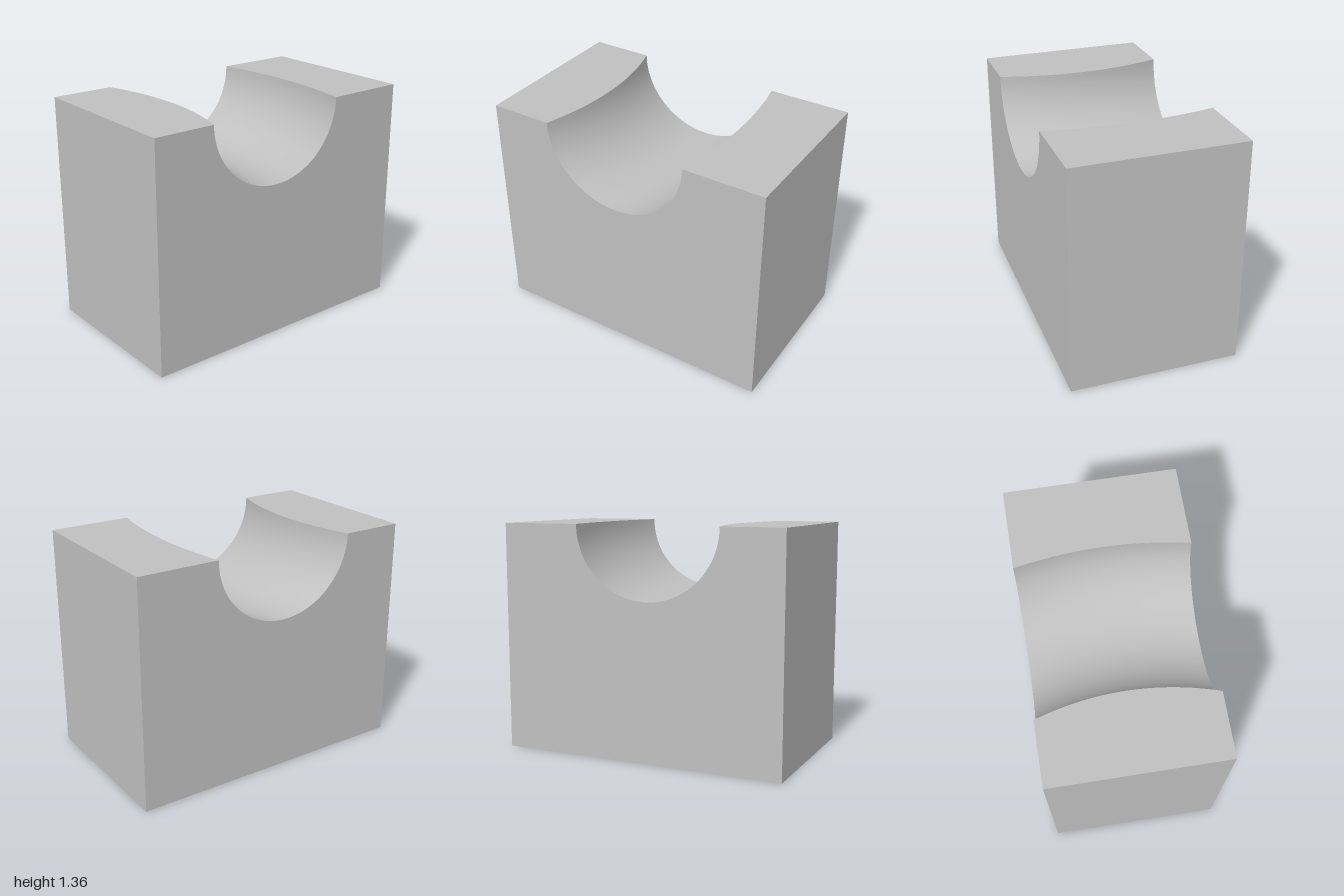
import * as THREE from 'three';

const W = 1, L = 1.73, H = 1.355;      // block width, length, height
const R = 2, r = 0.425, C = -1.99;     // groove sweep radius, tube radius, sweep centre
const N = 48, M = 24;                  // steps across and along the groove

// Groove point at width x; a runs from 0 (inner rim) to PI (outer rim).
// Returns [distance along the block, height].
function groovePoint(x, a) {
  const rho = R - r * Math.cos(a);
  return [C + Math.sqrt(rho * rho - x * x), H - r * Math.sin(a)];
}

export function createModel() {
  const model = new THREE.Group();
  const body = new THREE.Group();
  body.name = 'groovedBlock';
  const grey = new THREE.MeshStandardMaterial({ color: 0xc0c0c0 });
  grey.name = 'grey';

  const add = (name, geometry) => {
    const mesh = new THREE.Mesh(geometry, grey);
    mesh.name = name;
    body.add(mesh);
  };
  const shapeOf = (pts) => new THREE.ShapeGeometry(
    new THREE.Shape(pts.map(([x, y]) => new THREE.Vector2(x, y))));

  // Side walls with the groove mouth cut out
  for (const s of [1, -1]) {
    const pts = [[-L / 2, 0], [-L / 2, H]];
    for (let i = 0; i <= N; i++) pts.push(groovePoint(W / 2, Math.PI * i / N));
    pts.push([L / 2, H], [L / 2, 0]);
    add(s > 0 ? 'leftWall' : 'rightWall', shapeOf(pts.map(([u, y]) => [s * u, y]))
      .rotateY(s * Math.PI / 2).translate(s * W / 2, 0, 0));
  }

  // Flat tops on either side of the groove, each with one curved rim
  for (const s of [1, -1]) {
    const pts = [[W / 2, s * L / 2], [-W / 2, s * L / 2]];
    for (let i = 0; i <= M; i++) {
      const x = -W / 2 + W * i / M;
      pts.push([x, groovePoint(x, s > 0 ? Math.PI : 0)[0]]);
    }
    add(s > 0 ? 'backTop' : 'frontTop', shapeOf(pts).rotateX(-Math.PI / 2).translate(0, H, 0));
  }

  // Curved groove: a half-round channel swept along an arc
  const groove = new THREE.PlaneGeometry(W, 1, M, N);
  const p = groove.attributes.position;
  for (let i = 0; i < p.count; i++) {
    const x = p.getX(i);
    const [u, y] = groovePoint(x, Math.PI * (p.getY(i) + 0.5));
    p.setXYZ(i, x, y, -u);
  }
  groove.computeVertexNormals();
  add('groove', groove);

  // End walls and underside
  add('frontEnd', new THREE.PlaneGeometry(W, H).translate(0, H / 2, L / 2));
  add('backEnd', new THREE.PlaneGeometry(W, H).rotateY(Math.PI).translate(0, H / 2, -L / 2));
  add('underside', new THREE.PlaneGeometry(W, L).rotateX(Math.PI / 2));

  body.rotation.y = -0.487;
  model.add(body);
  return model;
}
